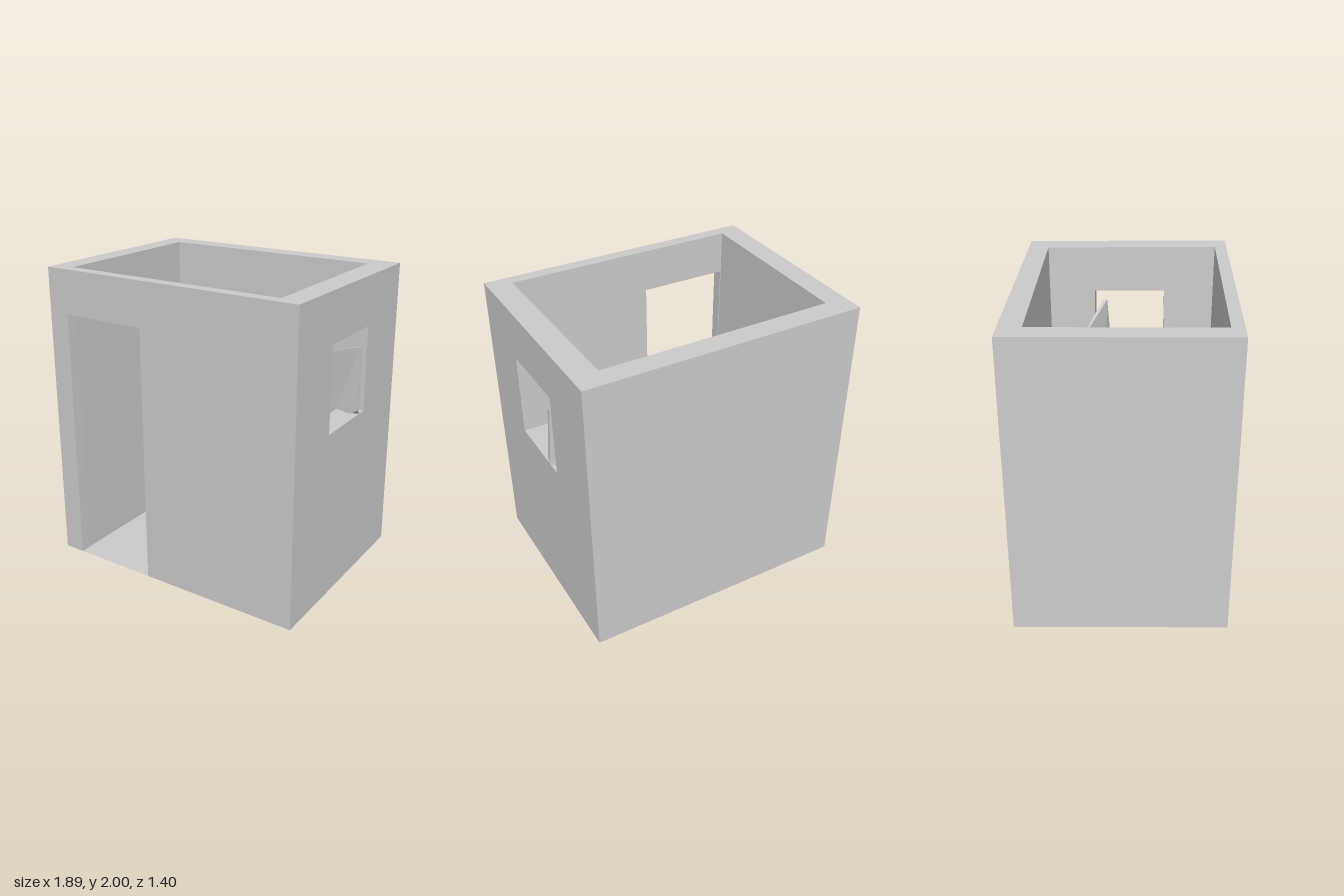
import * as THREE from 'three';
import { mergeGeometries } from 'three/addons/utils/BufferGeometryUtils.js';

const material = new THREE.MeshStandardMaterial({ color: 0xcccccc, flatShading: true, side: THREE.DoubleSide });
const HEIGHT = 2;

// Plan corners [x, z]: front-right-of-plan order, counterclockwise from above
const outer = [[-0.9, 0.7], [0.94, 0.69], [0.88, -0.7], [-0.95, -0.67]];
const inner = [[-0.76, 0.62], [0.78, 0.61], [0.72, -0.56], [-0.8, -0.53]];

// Openings: axis 0 is measured along x, axis 1 along z
const door = { axis: 0, from: -0.755, to: -0.16, y0: 0, y1: 1.71 };
const windowHole = { axis: 1, from: 0.26, to: -0.24, y0: 1.12, y1: 1.68 };
const openings = [door, windowHole, null, null];

const mix = (a, b, t) => a + (b - a) * t;

// Fraction along the wall line a-b where the opening's coordinate lies
const along = (a, b, axis, c) => (c - a[axis]) / (b[axis] - a[axis]);

function quad(a, b, c, d) {
  const g = new THREE.BufferGeometry();
  g.setAttribute('position', new THREE.Float32BufferAttribute([...a, ...b, ...c, ...d], 3));
  g.setIndex([0, 1, 2, 0, 2, 3]);
  g.computeVertexNormals();
  return g;
}

// One vertical wall face between two plan corners, with its opening cut out
function wallFace(a, b, hole) {
  const shape = new THREE.Shape();
  const rect = (path, u0, u1, y0, y1) =>
    path.moveTo(u0, y0).lineTo(u1, y0).lineTo(u1, y1).lineTo(u0, y1).closePath();
  if (hole) {
    const u0 = along(a, b, hole.axis, hole.from);
    const u1 = along(a, b, hole.axis, hole.to);
    if (hole.y0 === 0) {
      // doorway: a notch reaching the ground
      shape.moveTo(0, 0).lineTo(u0, 0).lineTo(u0, hole.y1).lineTo(u1, hole.y1)
        .lineTo(u1, 0).lineTo(1, 0).lineTo(1, HEIGHT).lineTo(0, HEIGHT).closePath();
    } else {
      rect(shape, 0, 1, 0, HEIGHT);
      const path = new THREE.Path();
      rect(path, u0, u1, hole.y0, hole.y1);
      shape.holes.push(path);
    }
  } else rect(shape, 0, 1, 0, HEIGHT);
  const g = new THREE.ShapeGeometry(shape);
  g.deleteAttribute('uv');
  const p = g.attributes.position;
  for (let i = 0; i < p.count; i++) {
    const u = p.getX(i);
    p.setXYZ(i, mix(a[0], b[0], u), p.getY(i), mix(a[1], b[1], u));
  }
  g.computeVertexNormals();
  return g;
}

// Lining of an opening between the outer and inner faces
function reveal(i, hole) {
  const corners = [[hole.from, hole.y0], [hole.from, hole.y1], [hole.to, hole.y1], [hole.to, hole.y0]];
  const point = (loop, [c, y]) => {
    const a = loop[i], b = loop[(i + 1) % 4], t = along(a, b, hole.axis, c);
    return [mix(a[0], b[0], t), y, mix(a[1], b[1], t)];
  };
  return corners.map((c, k) => {
    const d = corners[(k + 1) % 4];
    return quad(point(outer, c), point(outer, d), point(inner, d), point(inner, c));
  });
}

// Box bent to eight corners, ordered x- then x+, within y- / y+, within z- / z+
function bentBox(c) {
  const g = new THREE.BoxGeometry(1, 1, 1).toNonIndexed();
  const p = g.attributes.position;
  for (let i = 0; i < p.count; i++) {
    const k = (p.getX(i) > 0 ? 4 : 0) + (p.getY(i) > 0 ? 2 : 0) + (p.getZ(i) > 0 ? 1 : 0);
    p.setXYZ(i, ...c[k]);
  }
  g.computeVertexNormals();
  return g;
}

export function createModel() {
  const group = new THREE.Group();
  const add = (name, geometry) => {
    const mesh = new THREE.Mesh(geometry, material);
    mesh.name = name;
    group.add(mesh);
  };

  // Walls: hollow, open underneath, capped by a flat rim
  const outside = [], inside = [], rim = [];
  for (let i = 0; i < 4; i++) {
    const j = (i + 1) % 4;
    outside.push(wallFace(outer[i], outer[j], openings[i]));
    inside.push(wallFace(inner[i], inner[j], openings[i]));
    const top = ([x, z]) => [x, HEIGHT, z];
    rim.push(quad(top(outer[i]), top(outer[j]), top(inner[j]), top(inner[i])));
  }
  add('outerWalls', mergeGeometries(outside));
  add('innerWalls', mergeGeometries(inside));
  add('wallRim', mergeGeometries(rim));
  add('doorLining', mergeGeometries(reveal(0, door)));
  add('windowLining', mergeGeometries(reveal(1, windowHole)));
  add('floor', quad(...inner.map(([x, z]) => [x, 0, z])));

  // Thin boards leaning on the back wall
  const board = (x0, x1, x2, y0, y1, zFoot, zTop, skew) => bentBox([
    [x0, y0, zFoot - 0.015], [x0, y0, zFoot], [x0, y1, zTop - 0.012], [x0, y1, zTop],
    [x1, y0, zFoot - 0.015 - skew], [x1, y0, zFoot - skew],
    [x2, y1, zTop - 0.012 - skew], [x2, y1, zTop - skew],
  ]);
  add('leftLeaningBoard', board(-0.73, -0.35, -0.34, 0.01, 0.456, -0.38, -0.52, 0.004));
  add('rightLeaningBoard', board(-0.257, 0.125, 0.12, 0.002, 0.465, -0.415, -0.522, 0.012));

  // Twisted shutter swung inwards through the window
  add('windowShutter', bentBox([
    [0.66, 1.0, -0.26], [0.7, 1.02, -0.17], [0.52, 1.42, -0.312], [0.51, 1.42, -0.303],
    [0.91, 1.13, -0.155], [0.91, 1.155, -0.13], [0.89, 1.56, -0.19], [0.89, 1.56, -0.16],
  ]));
  return group;
}
